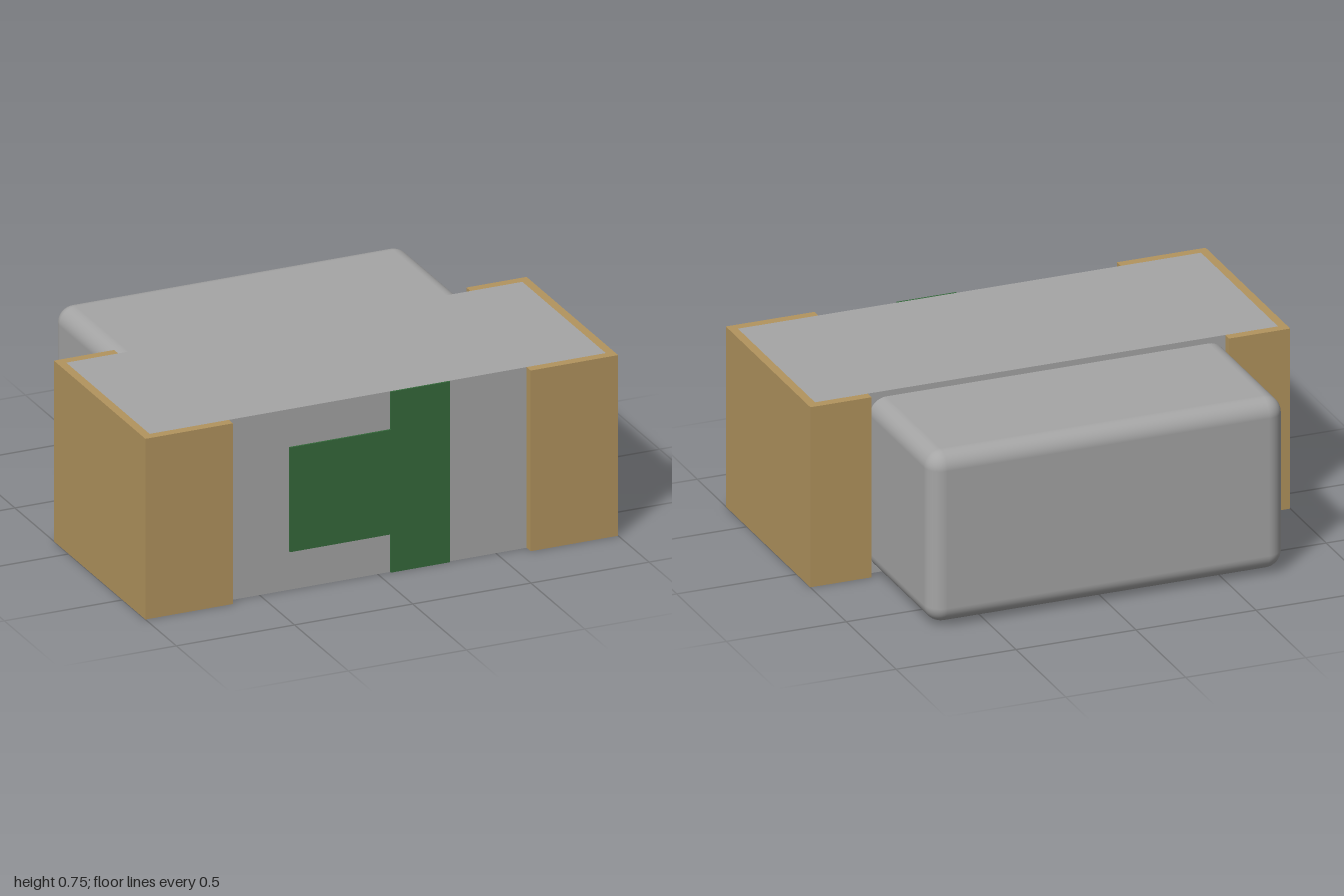
import * as THREE from 'three';
import { RoundedBoxGeometry } from 'three/addons/geometries/RoundedBoxGeometry.js';

const HEIGHT = 0.755;

function extrude(points, depth) {
  const shape = new THREE.Shape(points.map(([x, y]) => new THREE.Vector2(x, y)));
  return new THREE.ExtrudeGeometry(shape, { depth, bevelEnabled: false });
}

export function createModel() {
  const group = new THREE.Group();
  const grey = new THREE.MeshStandardMaterial({ name: 'grey', color: 0xa5a5a5 });
  const gold = new THREE.MeshStandardMaterial({ name: 'gold', color: 0xb2945e });
  const green = new THREE.MeshStandardMaterial({ name: 'green', color: 0x35693b });

  const add = (name, geometry, material, x = 0, y = 0, z = 0) => {
    const mesh = new THREE.Mesh(geometry, material);
    mesh.name = name;
    mesh.position.set(x, y, z);
    group.add(mesh);
  };

  // Flat substrate between the terminals
  add('substrate', new THREE.BoxGeometry(1.93, HEIGHT, 0.775), grey, 0, HEIGHT / 2, 0.2875);

  // Rounded lens on the back; its front end is buried in the substrate
  add('lens', new RoundedBoxGeometry(1.482, 0.716, 0.715, 6, 0.07), grey, -0.004, 0.373, -0.3575);

  // C-shaped metal terminals wrapping each end, drawn as (x, -z) and extruded upward
  for (const side of [1, -1]) {
    const profile = [
      [0.63, -0.713], [1, -0.713], [1, 0.138], [0.745, 0.138],
      [0.745, 0.1], [0.965, 0.1], [0.965, -0.675], [0.63, -0.675],
    ].map(([x, y]) => [x * side, y]);
    const geometry = extrude(profile, HEIGHT).rotateX(-Math.PI / 2);
    add(side > 0 ? 'leftTerminal' : 'rightTerminal', geometry, gold);
  }

  // T-shaped polarity mark on the front
  const mark = [
    [-0.375, 0.16], [0.053, 0.16], [0.053, 0], [0.303, 0],
    [0.303, HEIGHT], [0.053, HEIGHT], [0.053, 0.597], [-0.375, 0.597],
  ];
  add('polarityMark', extrude(mark, 0.008), green, 0, 0, 0.675);

  return group;
}
